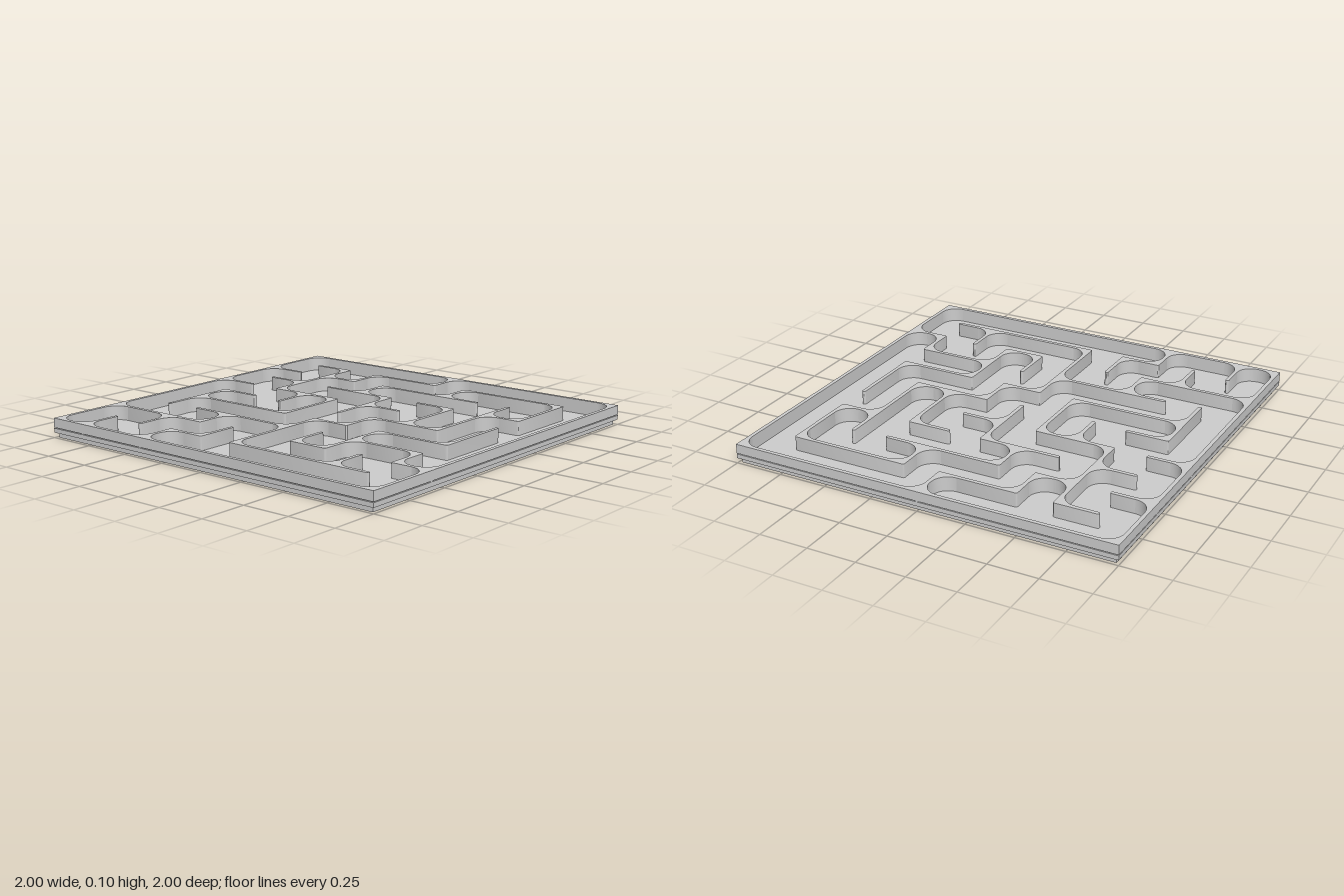
import * as THREE from 'three';
import { mergeGeometries, toCreasedNormals } from 'three/addons/utils/BufferGeometryUtils.js';

const TOP = 0.1, FLOOR = 0.028;   // wall top and channel floor heights
const HALF = 0.01;                // half the wall thickness
const FILLET = 0.083;             // radius in the channel corners
const at = i => -0.99 + 0.198 * i; // grid line position, 0 to 10

// Inner walls along x: [z line, from x, to x]
const ROWS = [
  [1, 0, 1], [1, 3, 5], [2, 1, 2], [2, 6, 9], [3, 0, 1], [3, 2, 3], [3, 5, 6], [3, 8, 9],
  [4, 1, 2], [4, 4, 6], [4, 7, 8], [5, 1, 4], [5, 5, 7], [5, 9, 10], [6, 2, 3], [6, 4, 5],
  [6, 8, 9], [7, 2, 4], [7, 5, 7], [8, 1, 2], [8, 5, 8], [9, 2, 3], [9, 4, 6], [9, 7, 9],
];
// Inner walls along z: [x line, from z, to z]
const COLUMNS = [
  [1, 3, 4], [1, 5, 9], [2, 0, 3], [2, 6, 7], [2, 9, 10], [3, 2, 5], [3, 7, 9], [4, 1, 4],
  [4, 5, 6], [4, 7, 9], [5, 1, 2], [5, 6, 8], [6, 0, 1], [6, 2, 4], [6, 5, 6], [7, 1, 2],
  [7, 3, 5], [7, 6, 7], [7, 8, 9], [8, 0, 1], [8, 2, 3], [8, 4, 7], [9, 1, 2], [9, 3, 5], [9, 6, 9],
];

// Raise a plan drawn in (x, z) between two heights
function raise(shape, y0, y1) {
  const g = new THREE.ExtrudeGeometry(shape, { depth: y1 - y0, bevelEnabled: false, curveSegments: 8 });
  return g.rotateX(Math.PI / 2).translate(0, y1, 0);
}

function squarePoints(h) {
  return [[-h, -h], [h, -h], [h, h], [-h, h]].map(p => new THREE.Vector2(...p));
}

// Square ring with the given half sizes
function ring(outer, inner, y0, y1) {
  const shape = new THREE.Shape(squarePoints(outer));
  shape.holes.push(new THREE.Path(squarePoints(inner)));
  return raise(shape, y0, y1);
}

// Straight wall with round ends
function wall(x0, z0, x1, z1) {
  const a = Math.atan2(z1 - z0, x1 - x0), q = Math.PI / 2;
  const shape = new THREE.Shape();
  shape.absarc(x1, z1, HALF, a - q, a + q);
  shape.absarc(x0, z0, HALF, a + q, a + 3 * q);
  return raise(shape, FLOOR, TOP);
}

// Concave corner filler on the (sx, sz) side of a grid point
function fillet(x, z, sx, sz) {
  const c = HALF + FILLET, k = HALF * 0.9;
  const points = [new THREE.Vector2(x + sx * k, z + sz * k), new THREE.Vector2(x + sx * c, z + sz * k)];
  for (let i = 0; i <= 8; i++) {
    const t = i * Math.PI / 16;
    points.push(new THREE.Vector2(x + sx * (c - FILLET * Math.sin(t)), z + sz * (c - FILLET * Math.cos(t))));
  }
  points.push(new THREE.Vector2(x + sx * k, z + sz * c));
  return raise(new THREE.Shape(points), FLOOR, TOP);
}

export function createModel() {
  const model = new THREE.Group();
  const material = new THREE.MeshStandardMaterial({ color: 0xcccccc });
  const add = (name, geometry) => {
    const mesh = new THREE.Mesh(geometry, material);
    mesh.name = name;
    model.add(mesh);
  };

  // Which unit edges leave each grid point
  const edges = new Set();
  const mark = (x, z, dx, dz, n) => {
    for (let i = 0; i < n; i++) {
      edges.add([x + dx * i, z + dz * i, dx, dz].join());
      edges.add([x + dx * (i + 1), z + dz * (i + 1), -dx, -dz].join());
    }
  };
  for (const [z, a, b] of [...ROWS, [0, 0, 10], [10, 0, 10]]) mark(a, z, 1, 0, b - a);
  for (const [x, a, b] of [...COLUMNS, [0, 0, 10], [10, 0, 10]]) mark(x, a, 0, 1, b - a);
  const has = (x, z, dx, dz) => edges.has([x, z, dx, dz].join());
  const isFree = (x, z) =>
    [[1, 0], [-1, 0], [0, 1], [0, -1]].filter(([dx, dz]) => has(x, z, dx, dz)).length === 1;
  const tip = (x, z) => (isFree(x, z) ? 0.01 : 0);

  // Inner walls, slightly longer at free ends
  const walls = [];
  for (const [z, a, b] of ROWS) walls.push(wall(at(a) - tip(a, z), at(z), at(b) + tip(b, z), at(z)));
  for (const [x, a, b] of COLUMNS) walls.push(wall(at(x), at(a) - tip(x, a), at(x), at(b) + tip(x, b)));
  add('mazeWalls', toCreasedNormals(mergeGeometries(walls), 0.5));

  // Rounded channel corners wherever two walls meet at a right angle
  const fillets = [];
  for (let x = 0; x <= 10; x++) for (let z = 0; z <= 10; z++)
    for (const sx of [-1, 1]) for (const sz of [-1, 1])
      if (has(x, z, sx, 0) && has(x, z, 0, sz)) fillets.push(fillet(at(x), at(z), sx, sz));
  add('cornerFillets', toCreasedNormals(mergeGeometries(fillets), 0.5));

  // Outer frame in two bands with a fine seam between them
  add('upperFrame', ring(1, 0.98, 0.052, TOP));
  add('frameSeam', ring(0.994, 0.98, 0.048, 0.052));
  add('lowerFrame', ring(1, 0.98, 0.026, 0.048));

  // Base plate, a little smaller than the frame
  add('basePlate', raise(new THREE.Shape(squarePoints(0.983)), 0, FLOOR));
  return model;
}
